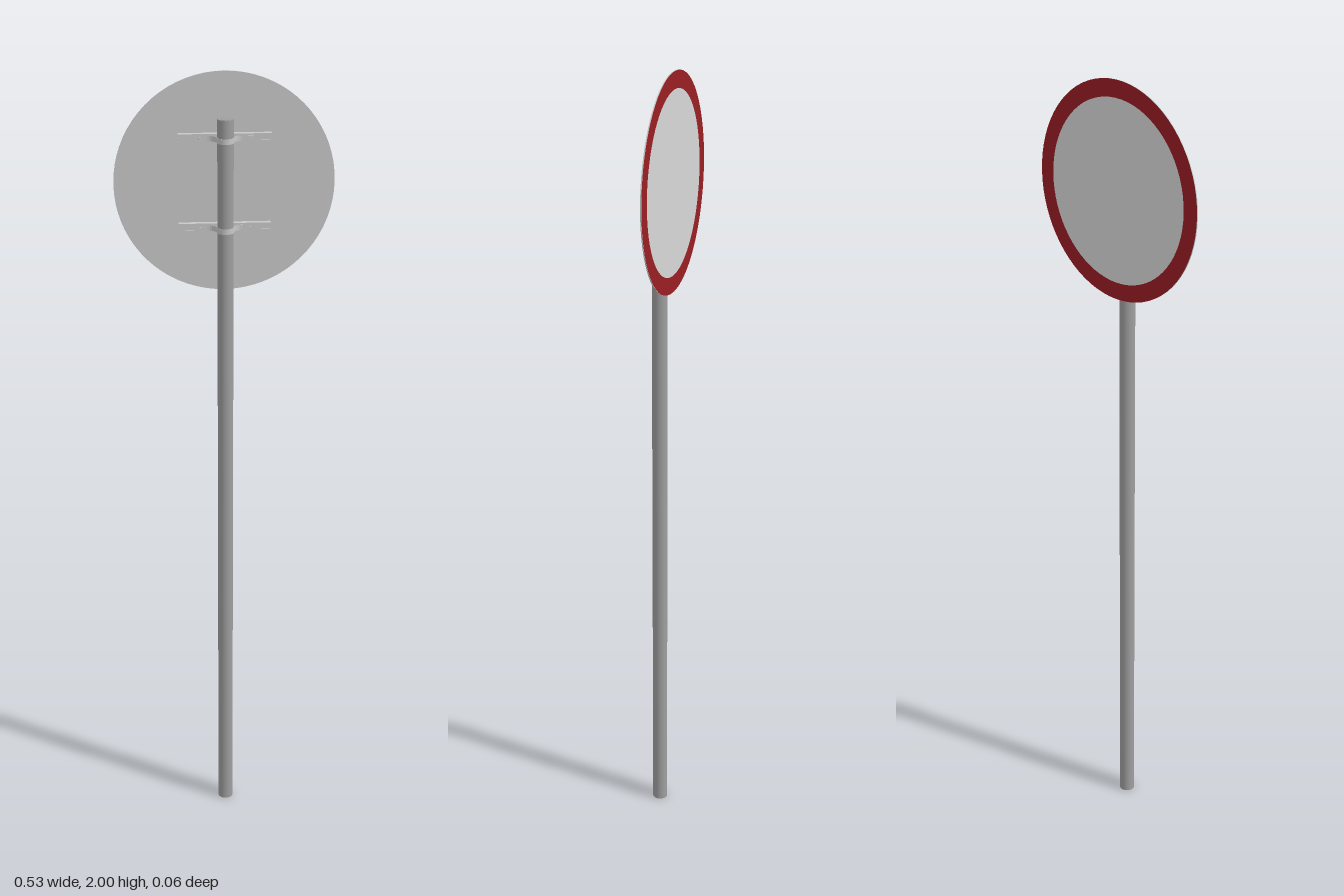
import * as THREE from 'three';

const mat = (name, color, side = THREE.FrontSide) => {
  const m = new THREE.MeshStandardMaterial({ color, side });
  m.name = name;
  return m;
};

export function createModel() {
  const poleGrey = mat('pole grey', 0x9e9e9e);
  const metal = mat('light metal', 0xc8c8c8);
  const faceGrey = mat('face white', 0xd8d8d8);
  const red = mat('border red', 0x9a1e23);

  const model = new THREE.Group();
  model.name = 'roundRoadSign';
  const add = (parent, name, geometry, material, x = 0, y = 0, z = 0) => {
    const mesh = new THREE.Mesh(geometry, material);
    mesh.name = name;
    mesh.position.set(x, y, z);
    parent.add(mesh);
    return mesh;
  };

  const poleR = 0.0195, poleZ = 0.0075, poleH = 1.895;
  const signR = 0.265, signY = 1.735, innerR = 0.223;

  // Pole
  add(model, 'pole', new THREE.CylinderGeometry(poleR, poleR, poleH, 32), poleGrey, 0, poleH / 2, poleZ);

  // Sign plate, with its painted face turned to -z
  const plate = new THREE.CylinderGeometry(signR, signR, 0.0025, 72).rotateX(Math.PI / 2);
  add(model, 'signPlate', plate, metal, 0, signY, -0.0277);
  const border = new THREE.RingGeometry(innerR, signR, 72).rotateY(Math.PI);
  add(model, 'signBorder', border, red, 0, signY, -0.0295);
  const face = new THREE.CircleGeometry(innerR, 72).rotateY(Math.PI);
  add(model, 'signFace', face, faceGrey, 0, signY, -0.0295);

  // Strap outline seen from above (shape y is -z): tab, flare, round the pole, mirrored
  const half = [[0.07, 0.0115], [0.042, 0.0115]];
  for (let i = 1; i <= 6; i++) {
    const a = (i / 6) * Math.PI / 2;
    half.push([0.042 - 0.0215 * Math.sin(a), -0.0075 + 0.019 * Math.cos(a)]);
  }
  for (let i = 1; i <= 10; i++) {
    const a = (i / 10) * Math.PI / 2;
    half.push([0.0205 * Math.cos(a), -poleZ - 0.0205 * Math.sin(a)]);
  }
  const mirrored = half.slice(0, -1).reverse().map(([x, y]) => [-x, y]);
  const line = [...half, ...mirrored].map(([x, y]) => new THREE.Vector2(x, y));
  const outer = line.map((p, i) => {
    const d = line[Math.min(i + 1, line.length - 1)].clone().sub(line[Math.max(i - 1, 0)]).normalize();
    return new THREE.Vector2(p.x + d.y * 0.001, p.y - d.x * 0.001);
  });
  const strapH = 0.013;
  const strapGeo = new THREE.ExtrudeGeometry(new THREE.Shape([...line, ...outer.reverse()]),
    { depth: strapH, bevelEnabled: false });
  strapGeo.translate(0, 0, -strapH / 2).rotateX(-Math.PI / 2);

  // Mounting rails: slotted channels, each with a strap and two bolts
  const railL = 0.222, railH = 0.022, t = 0.0015;
  for (const [name, y] of [['upperBracket', 1.845], ['lowerBracket', 1.629]]) {
    const bracket = new THREE.Group();
    bracket.name = name;
    bracket.position.y = y;
    model.add(bracket);
    add(bracket, 'railBack', new THREE.BoxGeometry(railL, railH, t), metal, 0, 0, -0.0258);
    for (const s of [-1, 1]) {
      add(bracket, 'railFlange', new THREE.BoxGeometry(railL, t, 0.014), metal, 0, s * (railH - t) / 2, -0.0195);
      add(bracket, 'railLip', new THREE.BoxGeometry(railL, 0.006, t), metal, 0, s * (railH / 2 - 0.003), -0.0132);
      const bolt = new THREE.CylinderGeometry(0.0035, 0.0035, 0.004, 6).rotateX(Math.PI / 2);
      add(bracket, 'boltHead', bolt, metal, s * 0.06, 0, -0.009);
      const shank = new THREE.CylinderGeometry(0.002, 0.002, 0.016, 10).rotateX(Math.PI / 2);
      add(bracket, 'boltShank', shank, metal, s * 0.06, 0, -0.0155);
    }
    add(bracket, 'strap', strapGeo, metal);
  }
  return model;
}
